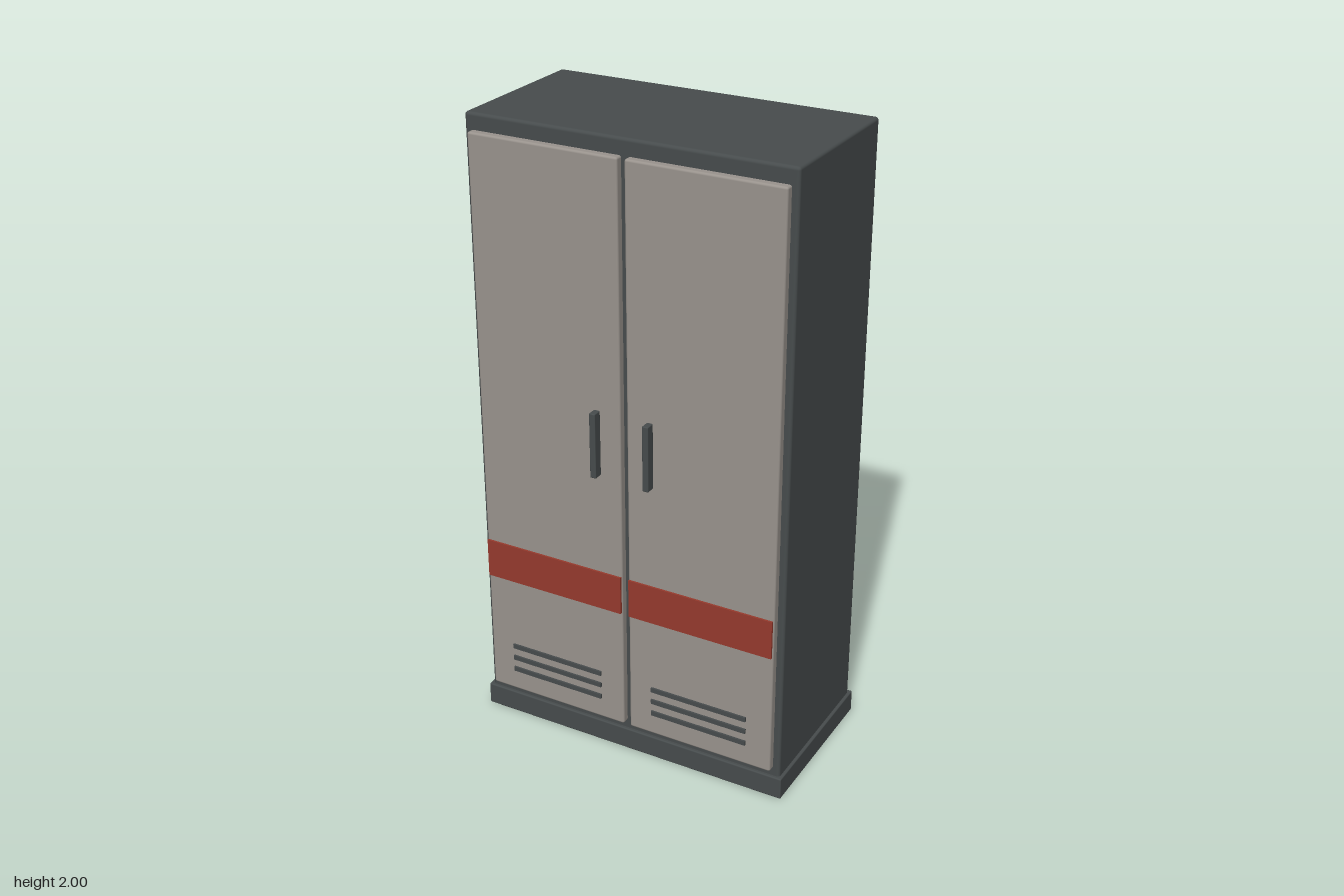
import * as THREE from 'three';
import { RoundedBoxGeometry } from 'three/addons/geometries/RoundedBoxGeometry.js';

function material(name, color) {
  const m = new THREE.MeshStandardMaterial({ color });
  m.name = name;
  return m;
}

export function createModel() {
  const darkMetal = material('dark metal', 0x474c4d);
  const doorGrey = material('door grey', 0x99938d);
  const stripeRed = material('stripe red', 0x963a2d);
  const model = new THREE.Group();
  model.name = 'locker';

  // Box from its limits on each axis, with softened edges where radius > 0
  function box(parent, name, mat, [x0, x1], [y0, y1], [z0, z1], radius = 0) {
    const size = [x1 - x0, y1 - y0, z1 - z0];
    const geometry = radius
      ? new RoundedBoxGeometry(...size, 2, radius)
      : new THREE.BoxGeometry(...size);
    const mesh = new THREE.Mesh(geometry, mat);
    mesh.name = name;
    mesh.position.set((x0 + x1) / 2, (y0 + y1) / 2, (z0 + z1) / 2);
    parent.add(mesh);
  }

  // Carcass and plinth
  box(model, 'cabinetBody', darkMetal, [-0.52, 0.52], [0.06, 2], [-0.282, 0.235], 0.01);
  box(model, 'plinth', darkMetal, [-0.53, 0.53], [0, 0.073], [-0.292, 0.245], 0.004);

  // Two mirrored doors with handle, stripe and vent slots
  for (const side of [1, -1]) {
    const door = new THREE.Group();
    door.name = side > 0 ? 'leftDoor' : 'rightDoor';
    model.add(door);
    const span = (a, b) => (side > 0 ? [a, b] : [-b, -a]);

    box(door, 'doorPanel', doorGrey, span(0.011, 0.498), [0.1, 1.95], [0.225, 0.259], 0.007);
    box(door, 'doorStripe', stripeRed, span(0.014, 0.494), [0.51, 0.637], [0.257, 0.2655]);
    box(door, 'doorHandle', darkMetal, span(0.078, 0.098), [0.97, 1.18], [0.258, 0.289], 0.003);
    for (const y of [0.18, 0.223, 0.266]) {
      box(door, 'ventSlot', darkMetal, span(0.09, 0.415), [y - 0.0075, y + 0.0075], [0.257, 0.2655]);
    }
  }
  return model;
}
